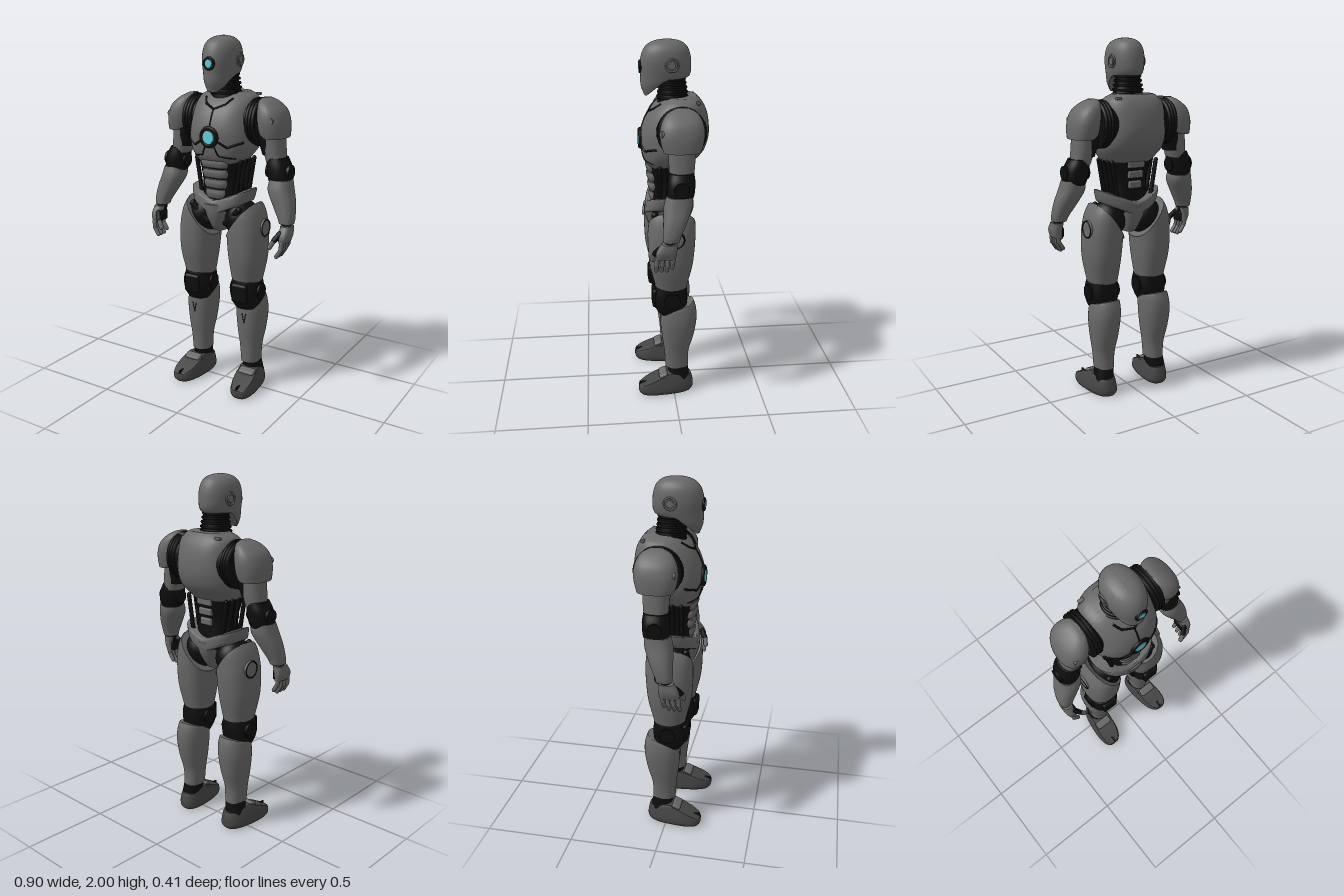
import * as THREE from 'three';
import { toCreasedNormals } from 'three/addons/utils/BufferGeometryUtils.js';
import { RoundedBoxGeometry } from 'three/addons/geometries/RoundedBoxGeometry.js';

const paint = (name, color) => Object.assign(new THREE.MeshStandardMaterial({ color }), { name });

// Smooth body from horizontal rings [y, cx, cz, rx, rz]; e is the roundness (2 = ellipse)
function loft(rings, { e = 2.3, n = 32, steps = 4, shape = null } = {}) {
  const centre = new THREE.CatmullRomCurve3(rings.map(r => new THREE.Vector3(r[1], r[0], r[2])), false, 'catmullrom');
  const radius = new THREE.CatmullRomCurve3(rings.map(r => new THREE.Vector3(r[3], 0, r[4])), false, 'catmullrom');
  const m = (rings.length - 1) * steps, pos = [], idx = [];
  const pow = v => Math.sign(v) * Math.abs(v) ** (2 / e);
  const add = p => { if (shape) shape(p); pos.push(p.x, p.y, p.z); };
  for (let i = 0; i <= m; i++) {
    const c = centre.getPoint(i / m), r = radius.getPoint(i / m);
    for (let j = 0; j < n; j++) {
      const a = j / n * Math.PI * 2;
      add(new THREE.Vector3(c.x + r.x * pow(Math.cos(a)), c.y, c.z + r.z * pow(Math.sin(a))));
      if (i < m) {
        const k = (j + 1) % n, o = i * n, u = o + n;
        idx.push(o + j, u + j, o + k, o + k, u + j, u + k);
      }
    }
  }
  add(centre.getPoint(0));
  add(centre.getPoint(1));
  const low = (m + 1) * n;
  for (let j = 0; j < n; j++) {
    const k = (j + 1) % n;
    idx.push(low, j, k, low + 1, m * n + k, m * n + j);
  }
  const g = new THREE.BufferGeometry();
  g.setAttribute('position', new THREE.Float32BufferAttribute(pos, 3));
  g.setIndex(idx);
  return toCreasedNormals(g, 0.7);
}

// Reflected copy with the face order corrected
function mirror(geo) {
  const g = geo.index ? geo.toNonIndexed() : geo.clone();
  g.scale(-1, 1, 1);
  for (const a of Object.values(g.attributes)) {
    const s = a.itemSize;
    for (let t = 0; t < a.count; t += 3) for (let k = 0; k < s; k++) {
      const p = (t + 1) * s + k, q = (t + 2) * s + k;
      [a.array[p], a.array[q]] = [a.array[q], a.array[p]];
    }
  }
  return g;
}

// Capsule between two points
function link(a, b, r) {
  const A = new THREE.Vector3(...a), B = new THREE.Vector3(...b), d = B.clone().sub(A);
  const q = new THREE.Quaternion().setFromUnitVectors(new THREE.Vector3(0, 1, 0), d.clone().normalize());
  const mid = A.add(B).multiplyScalar(0.5);
  return new THREE.CapsuleGeometry(r, d.length(), 4, 10).applyQuaternion(q).translate(mid.x, mid.y, mid.z);
}
const box = (w, h, d, x, y, z, r = 0.01) => new RoundedBoxGeometry(w, h, d, 2, r).translate(x, y, z);
const ball = (r, sx, sy, sz, x, y, z) => new THREE.SphereGeometry(r, 28, 18).scale(sx, sy, sz).translate(x, y, z);
const discX = (r, w, x, y, z) => new THREE.CylinderGeometry(r, r, w, 32).rotateZ(Math.PI / 2).translate(x, y, z);
const discZ = (r, w, x, y, z) => new THREE.CylinderGeometry(r, r, w, 32).rotateX(Math.PI / 2).translate(x, y, z);
const ringX = (r, t, x, y, z) => new THREE.TorusGeometry(r, t, 8, 32).rotateY(Math.PI / 2).translate(x, y, z);
const ringZ = (r, t, x, y, z) => new THREE.TorusGeometry(r, t, 8, 32).translate(x, y, z);

export function createModel() {
  const armor = paint('armor grey', 0x686868), dark = paint('joint black', 0x0d0d0d);
  const sole = paint('boot grey', 0x454545), glow = paint('light cyan', 0x62cfd8);
  const root = new THREE.Group();
  root.name = 'robot';
  const part = (name, mat, geo) => {
    const mesh = new THREE.Mesh(geo, mat);
    mesh.name = name;
    root.add(mesh);
    return mesh;
  };
  const pair = (name, mat, geo) => {
    part(name + 'Right', mat, mirror(geo));
    return part(name + 'Left', mat, geo);
  };
  // Thin seam laid on the front of a mesh through [x, y] points
  const seam = (mesh, pts, r = 0.004) => {
    const path = [];
    for (let i = 0; i < pts.length - 1; i++) for (let k = 0; k < 6; k++) {
      const x = THREE.MathUtils.lerp(pts[i][0], pts[i + 1][0], k / 5);
      const y = THREE.MathUtils.lerp(pts[i][1], pts[i + 1][1], k / 5);
      const ray = new THREE.Raycaster(new THREE.Vector3(x, y, 1), new THREE.Vector3(0, 0, -1));
      const hit = ray.intersectObject(mesh)[0];
      if (hit && (k || !i)) path.push(hit.point);
    }
    return new THREE.TubeGeometry(new THREE.CatmullRomCurve3(path), 24, r, 6);
  };

  // Head: egg-shaped helmet with the underside cut up toward the neck
  part('head', armor, loft([
    [1.71, 0, 0.095, 0.042, 0.045], [1.76, 0, 0.068, 0.068, 0.09], [1.81, 0, 0.03, 0.085, 0.13],
    [1.88, 0, 0.026, 0.095, 0.136], [1.94, 0, 0.024, 0.089, 0.123], [1.975, 0, 0.022, 0.069, 0.097],
    [1.993, 0, 0.02, 0.04, 0.058], [2, 0, 0.02, 0.008, 0.012],
  ], { e: 2.1, shape: p => { p.y = Math.max(p.y, 1.8 - Math.max(0, p.z - 0.03) * 0.9); } }));
  part('eyeRim', dark, ringZ(0.029, 0.007, 0, 1.86, 0.161));
  part('eyePlate', armor, discZ(0.028, 0.012, 0, 1.86, 0.159));
  part('eye', glow, discZ(0.02, 0.009, 0, 1.86, 0.164));
  pair('earRing', armor, ringX(0.032, 0.005, 0.094, 1.875, 0));
  pair('earDisc', armor, discX(0.02, 0.01, 0.095, 1.875, 0));

  // Neck with ribs
  part('neck', dark, loft([
    [1.64, 0, -0.01, 0.1, 0.085], [1.7, 0, -0.012, 0.085, 0.078], [1.76, 0, -0.01, 0.07, 0.07], [1.83, 0, -0.01, 0.068, 0.07],
  ], { e: 2 }));
  for (let i = 0; i < 5; i++) {
    const r = 0.085 - i * 0.004;
    part('neckRib', dark, new THREE.TorusGeometry(r, 0.007, 6, 32).rotateX(Math.PI / 2).scale(1, 1, 0.95).translate(0, 1.7 + i * 0.024, -0.011));
  }

  // Chest shell, seams and core light
  const chest = part('chest', armor, loft([
    [1.32, 0, 0.015, 0.12, 0.105], [1.36, 0, 0.01, 0.155, 0.138], [1.42, 0, -0.01, 0.187, 0.17],
    [1.5, 0, -0.02, 0.19, 0.185], [1.58, 0, -0.03, 0.182, 0.172], [1.64, 0, -0.042, 0.175, 0.145],
    [1.68, 0, -0.052, 0.158, 0.112], [1.705, 0, -0.058, 0.115, 0.082],
  ], { e: 2.5, n: 48 }));
  part('chestSeam', dark, seam(chest, [[0, 1.62], [0, 1.53]]));
  pair('collarSeam', dark, seam(chest, [[0, 1.62], [0.06, 1.645], [0.085, 1.675]], 0.006));
  pair('breastSeam', dark, seam(chest, [[0.05, 1.455], [0.1, 1.425], [0.17, 1.45]], 0.006));
  pair('ribSeam', dark, seam(chest, [[0.03, 1.42], [0.05, 1.375], [0.13, 1.36]]));
  part('coreRim', dark, ringZ(0.047, 0.012, 0, 1.475, 0.165));
  part('corePlate', armor, discZ(0.045, 0.02, 0, 1.475, 0.162));
  part('coreLight', glow, discZ(0.034, 0.009, 0, 1.475, 0.171));
  pair('collarTab', armor, box(0.035, 0.015, 0.02, 0.13, 1.685, -0.135, 0.005));

  // Waist with stacked belly and back plates
  part('waist', dark, loft([
    [1.06, 0, 0.01, 0.12, 0.105], [1.15, 0, 0.01, 0.115, 0.1], [1.24, 0, 0.01, 0.112, 0.098], [1.37, 0, 0.01, 0.15, 0.125],
  ], { e: 2.4 }));
  for (let i = 0; i < 4; i++) {
    const y = 1.155 + i * 0.057, w = 0.065 + i * 0.007, z = 0.08 + i * 0.006;
    part('bellyPlate', armor, loft([[y - 0.024, 0, z, w - 0.008, 0.033], [y, 0, z, w, 0.042], [y + 0.024, 0, z, w - 0.004, 0.038]], { e: 3, steps: 3 }));
    if (i) part('backPlate', armor, box(0.07 + i * 0.012, 0.042, 0.03, 0, y, -0.078 - i * 0.006));
    pair('waistRod', dark, link([0.105, 1.13, 0.07 - i * 0.05], [0.14, 1.34, 0.07 - i * 0.05], 0.012));
  }

  // Belt rising at the hips, and the pelvis plate
  part('belt', armor, loft([
    [1.05, 0, 0.01, 0.155, 0.125], [1.06, 0, 0.01, 0.17, 0.135], [1.11, 0, 0.005, 0.185, 0.132], [1.12, 0, 0.005, 0.178, 0.125],
  ], { e: 2.5, n: 48, shape: p => { p.y += 0.4 * Math.max(0, Math.abs(p.x) - 0.02); } }));
  part('pelvis', armor, loft([
    [0.94, 0, 0.015, 0.035, 0.075], [0.98, 0, 0.015, 0.046, 0.105], [1.04, 0, 0.012, 0.066, 0.132], [1.1, 0, 0.01, 0.085, 0.14],
  ], { e: 3 }));
  pair('hipJoint', dark, ball(0.1, 0.95, 1.1, 1.1, 0.118, 1.01, 0.01));
  pair('hipRod', dark, link([0.06, 0.99, 0.09], [0.15, 1.08, 0.1], 0.018));

  // Shoulders and arms
  pair('shoulderJoint', dark, discX(0.12, 0.1, 0.175, 1.545, -0.04));
  for (let i = 0; i < 3; i++) pair('shoulderRib', dark, ringX(0.119, 0.012, 0.18 + i * 0.018, 1.548, -0.04));
  pair('shoulderPad', armor, loft([
    [1.475, 0.295, -0.032, 0.07, 0.098], [1.52, 0.291, -0.032, 0.075, 0.11], [1.57, 0.285, -0.033, 0.074, 0.115],
    [1.62, 0.273, -0.035, 0.065, 0.105], [1.66, 0.25, -0.038, 0.043, 0.078], [1.682, 0.235, -0.04, 0.018, 0.035],
  ], { e: 2.4, shape: p => { p.y = Math.max(p.y, 1.47 + Math.max(0, 0.29 - p.x) * 0.5); } }));
  pair('shoulderBolt', armor, discZ(0.018, 0.02, 0.315, 1.57, 0.065));
  pair('armSocket', dark, loft([[1.38, 0.285, -0.03, 0.055, 0.06], [1.46, 0.268, -0.03, 0.062, 0.07], [1.53, 0.255, -0.03, 0.06, 0.07]]));
  pair('upperArm', armor, loft([[1.34, 0.308, -0.028, 0.052, 0.062], [1.41, 0.295, -0.03, 0.058, 0.068], [1.5, 0.285, -0.03, 0.06, 0.072]]));
  pair('elbow', dark, loft([
    [1.22, 0.34, -0.018, 0.05, 0.058], [1.26, 0.337, -0.02, 0.064, 0.07], [1.32, 0.328, -0.024, 0.065, 0.072], [1.37, 0.315, -0.027, 0.054, 0.064],
  ]));
  pair('elbowCap', dark, discX(0.04, 0.14, 0.333, 1.295, -0.02));
  pair('forearm', armor, loft([
    [1.03, 0.408, 0.035, 0.038, 0.042], [1.06, 0.403, 0.03, 0.045, 0.047], [1.13, 0.378, 0.012, 0.06, 0.062],
    [1.2, 0.35, -0.005, 0.066, 0.073], [1.255, 0.345, -0.015, 0.058, 0.066],
  ], { e: 2.6 }));
  pair('wrist', dark, link([0.408, 1.04, 0.038], [0.412, 0.99, 0.045], 0.028));
  pair('palm', armor, loft([[0.935, 0.415, 0.065, 0.02, 0.052], [0.975, 0.42, 0.06, 0.027, 0.053], [1.02, 0.415, 0.045, 0.03, 0.04]], { e: 3.2 }));
  pair('palmPad', dark, box(0.02, 0.06, 0.075, 0.392, 0.965, 0.06));
  for (let i = 0; i < 4; i++) {
    const z = 0.025 + i * 0.028, drop = i === 0 ? 0.015 : 0;
    pair('fingerBase', armor, link([0.418, 0.938, z], [0.415, 0.9 + drop, z + 0.003], 0.0125));
    pair('fingerTip', armor, link([0.411, 0.893 + drop, z + 0.003], [0.39, 0.86 + drop, z + 0.004], 0.0115));
  }
  pair('thumbBase', dark, link([0.4, 0.985, 0.095], [0.378, 0.95, 0.118], 0.015));
  pair('thumbTip', armor, link([0.375, 0.945, 0.12], [0.355, 0.91, 0.128], 0.0135));

  // Thighs, cut diagonally at the groin
  pair('thigh', armor, loft([
    [0.64, 0.156, 0.012, 0.076, 0.083], [0.69, 0.157, 0.012, 0.086, 0.095], [0.8, 0.16, 0.012, 0.101, 0.12],
    [0.92, 0.156, 0.01, 0.106, 0.13], [1, 0.15, 0.008, 0.102, 0.13], [1.06, 0.14, 0.006, 0.095, 0.125], [1.11, 0.13, 0.005, 0.08, 0.105],
  ], { e: 2.4, steps: 6, n: 40, shape: p => { p.y = Math.min(p.y, 0.9 + (p.x - 0.05) * 1.33); } }));
  pair('hipDisc', armor, discX(0.05, 0.02, 0.25, 0.97, -0.005));
  pair('hipDiscRing', dark, ringX(0.046, 0.004, 0.26, 0.97, -0.005));

  // Knees
  pair('knee', dark, loft([
    [0.5, 0.16, 0.005, 0.066, 0.075], [0.54, 0.16, 0.015, 0.08, 0.09], [0.6, 0.158, 0.018, 0.088, 0.098], [0.67, 0.157, 0.014, 0.078, 0.088],
  ], { e: 2.6 }));
  pair('kneeCap', dark, box(0.1, 0.11, 0.04, 0.158, 0.6, 0.1, 0.015));
  pair('kneeDisc', dark, discX(0.045, 0.185, 0.158, 0.6, 0.012));

  // Shins with rounded calves
  const shin = pair('shin', armor, loft([
    [0.155, 0.168, -0.02, 0.053, 0.066], [0.25, 0.168, -0.018, 0.06, 0.07], [0.35, 0.168, -0.025, 0.075, 0.09],
    [0.45, 0.167, -0.03, 0.084, 0.102], [0.52, 0.163, -0.03, 0.081, 0.1], [0.57, 0.16, -0.03, 0.072, 0.085],
  ], { e: 2.3, shape: p => { p.y = Math.min(p.y, 0.535 - p.z * 0.3); } }));
  pair('shinMark', dark, seam(shin, [[0.155, 0.47], [0.168, 0.41], [0.181, 0.47]], 0.0025));

  // Ankles and feet
  pair('ankle', dark, loft([[0.06, 0.178, -0.03, 0.06, 0.062], [0.11, 0.174, -0.03, 0.055, 0.06], [0.175, 0.168, -0.022, 0.05, 0.058]]));
  pair('foot', sole, loft([
    [0, 0.183, 0.045, 0.062, 0.148], [0.02, 0.183, 0.045, 0.073, 0.159], [0.06, 0.183, 0.043, 0.07, 0.156], [0.13, 0.18, 0.03, 0.055, 0.125],
  ], { e: 2.7, steps: 6, shape: p => {
    p.y = Math.min(p.y, 0.125 - Math.max(0, p.z - 0.03) * 0.43, 0.1 + Math.max(0, p.z + 0.06) * 0.4);
    p.x += (p.z - 0.03) * 0.1;
  } }));
  pair('footStrap', armor, box(0.1, 0.035, 0.05, 0.186, 0.108, 0.06, 0.012).translate(-0.186, -0.108, -0.06).rotateX(0.4).translate(0.186, 0.108, 0.06));
  pair('toeGap', dark, box(0.01, 0.05, 0.07, 0.195, 0.044, 0.165, 0.003));
  return root;
}
